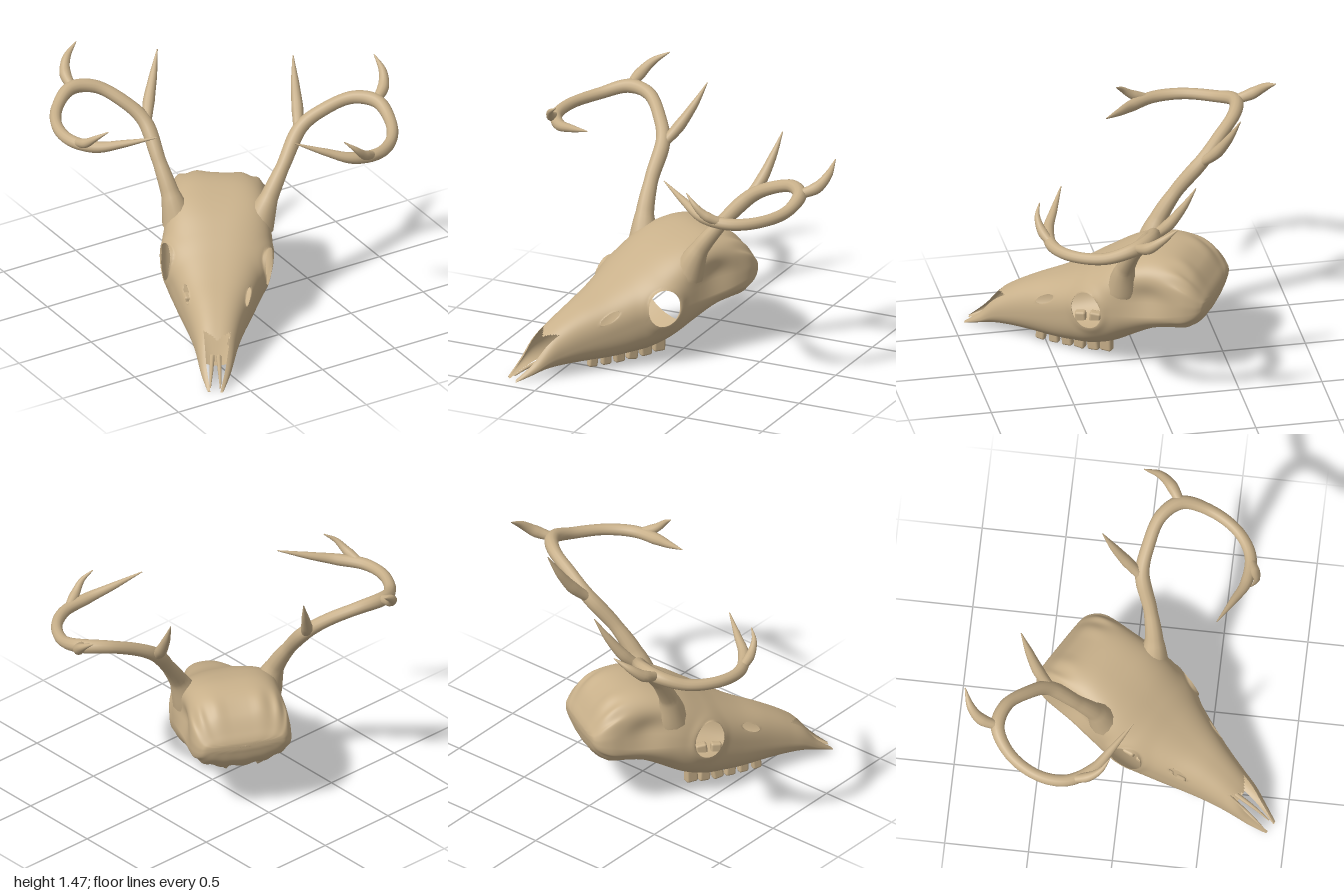
import * as THREE from 'three';
import { mergeVertices } from 'three/addons/utils/BufferGeometryUtils.js';
import { RoundedBoxGeometry } from 'three/addons/geometries/RoundedBoxGeometry.js';

const bone = new THREE.MeshStandardMaterial({ color: 0xc8b08a, side: THREE.DoubleSide });
const V = (p) => new THREE.Vector3(...p);
const { lerp, smoothstep } = THREE.MathUtils;

function add(parent, geometry, name) {
  const mesh = new THREE.Mesh(geometry, bone);
  mesh.name = name;
  parent.add(mesh);
  return mesh;
}

// Tube through points whose radius follows a list spread evenly along its length
function taper(points, radii, steps, sides = 12) {
  const curve = new THREE.CatmullRomCurve3(points.map(V));
  const tube = new THREE.TubeGeometry(curve, steps, 1, sides);
  const pos = tube.attributes.position, p = new THREE.Vector3();
  for (let i = 0; i <= steps; i++) {
    const c = curve.getPointAt(i / steps);
    const f = (i / steps) * (radii.length - 1), k = Math.min(Math.floor(f), radii.length - 2);
    const r = lerp(radii[k], radii[k + 1], f - k);
    for (let j = 0; j <= sides; j++) {
      const n = i * (sides + 1) + j;
      p.fromBufferAttribute(pos, n).sub(c).multiplyScalar(r).add(c);
      pos.setXYZ(n, p.x, p.y, p.z);
    }
  }
  tube.deleteAttribute('uv');
  tube.deleteAttribute('normal');
  const g = mergeVertices(tube, 1e-5);
  g.computeVertexNormals();
  return g;
}

// Skull stations, back to front: z, top, bottom, half width, height of widest line
const STATIONS = [
  [-0.45, 0.501, 0.499, 0.002, 0.5],
  [-0.445, 0.53, 0.46, 0.2, 0.5],
  [-0.42, 0.575, 0.38, 0.265, 0.48],
  [-0.35, 0.67, 0.31, 0.3, 0.46],
  [-0.25, 0.735, 0.29, 0.31, 0.44],
  [-0.12, 0.755, 0.26, 0.315, 0.42],
  [0.02, 0.73, 0.18, 0.325, 0.41],
  [0.15, 0.68, 0.11, 0.33, 0.40],
  [0.28, 0.605, 0.075, 0.31, 0.38],
  [0.40, 0.53, 0.065, 0.265, 0.33],
  [0.54, 0.455, 0.055, 0.215, 0.27],
  [0.70, 0.385, 0.055, 0.165, 0.21],
  [0.84, 0.31, 0.055, 0.13, 0.165],
  [0.94, 0.235, 0.05, 0.11, 0.13],
  [1.03, 0.12, 0.035, 0.085, 0.07],
  [1.135, 0.022, 0.008, 0.047, 0.015],
];

// Side openings: centre z, y, radii and slope
const OPENINGS = [
  { z: 0.27, y: 0.4, rz: 0.1, ry: 0.115, slope: 0 },
  { z: 0.575, y: 0.355, rz: 0.06, ry: 0.024, slope: -0.5 },
];
const reach = (o, y, z) => Math.hypot((z - o.z) / o.rz, (y - o.y - o.slope * (z - o.z)) / o.ry);
const bump = (x, c, w) => Math.exp(-(((x - c) / w) ** 2));

function skullGeometry() {
  const rows = 140, cols = 140;
  const heights = new THREE.CatmullRomCurve3(STATIONS.map((s) => V([s[0], s[1], s[2]])), false, 'catmullrom');
  const widths = new THREE.CatmullRomCurve3(STATIONS.map((s) => V([s[0], s[3], s[4]])), false, 'catmullrom');
  const pos = [], index = [], rowZ = [];
  for (let i = 0; i <= rows; i++) {
    const h = heights.getPoint(i / rows), w = widths.getPoint(i / rows);
    rowZ.push(h.x);
    // square braincase and palate, rounder face
    const upper = lerp(0.56, 0.8, smoothstep(h.x, 0, 0.3));
    const lower = 0.95 - 0.22 * bump(h.x, 0.45, 0.3);
    for (let j = 0; j < cols; j++) {
      const a = (j / cols) * Math.PI * 2, c = Math.cos(a), s = Math.sin(a);
      const e = s > 0 ? upper : lower;
      let x = w.y * Math.sign(c) * Math.abs(c) ** e;
      let y = w.z + (s > 0 ? h.y - w.z : w.z - h.z) * Math.sign(s) * Math.abs(s) ** e;
      let z = h.x;
      // hollow temples, raised orbit rim and fluted rear
      x *= 1 - 0.12 * bump(z, -0.1, 0.14) * bump(y, 0.54, 0.09);
      x *= 1 + 0.03 * bump(reach(OPENINGS[0], y, z), 1.05, 0.3);
      y += 0.007 * bump(z, -0.32, 0.08) * Math.cos(a * 14);
      // shape a clean edge round each opening
      for (const o of OPENINGS) {
        const d = reach(o, y, z);
        if (d > 0.65 && d < 1) {
          z = o.z + (z - o.z) / d;
          y = o.y + (y - o.y) / d;
        }
      }
      pos.push(x, y, z);
    }
  }
  const cut = (tri) => {
    const y = tri.reduce((t, n) => t + pos[n * 3 + 1], 0) / 3;
    const z = tri.reduce((t, n) => t + pos[n * 3 + 2], 0) / 3;
    return OPENINGS.some((o) => reach(o, y, z) < 0.97);
  };
  for (let i = 0; i < rows; i++) {
    for (let j = 0; j < cols; j++) {
      const a = ((j + 0.5) / cols) * Math.PI * 2, c = Math.abs(Math.cos(a)), up = Math.sin(a) > 0;
      if (rowZ[i] > (up ? 0.92 - 0.1 * c : 0.88) && c < 0.6) continue; // nasal opening
      if (!up && c < 0.62 && rowZ[i] > -0.3 && rowZ[i] < 0.01) continue; // opening under the braincase
      const p = i * cols + j, q = i * cols + ((j + 1) % cols);
      for (const tri of [[p, q, p + cols], [q, q + cols, p + cols]]) if (!cut(tri)) index.push(...tri);
    }
  }
  const g = new THREE.BufferGeometry();
  g.setAttribute('position', new THREE.Float32BufferAttribute(pos, 3));
  g.setIndex(index);
  g.computeVertexNormals();
  return g;
}

// Antler branches on the left side: points, radii and steps
const BRANCHES = {
  beam: [[[0.235, 0.56, 0.06], [0.29, 0.72, 0.025], [0.37, 0.9, -0.07], [0.465, 1.085, -0.21], [0.59, 1.177, -0.265],
    [0.766, 1.25, -0.305], [0.91, 1.255, -0.26], [0.99, 1.209, -0.104], [0.99, 1.19, 0.102], [0.91, 1.185, 0.255],
    [0.756, 1.196, 0.339], [0.602, 1.237, 0.358], [0.411, 1.297, 0.375]],
    [0.1, 0.055, 0.042, 0.046, 0.04, 0.038, 0.043, 0.036, 0.034, 0.036, 0.036, 0.022, 0.003], 110],
  browTine: [[[0.452, 1.06, -0.19], [0.442, 1.16, -0.3], [0.42, 1.3, -0.4], [0.403, 1.427, -0.472]],
    [0.028, 0.036, 0.024, 0.003], 20],
  rearTine: [[[0.9, 1.256, -0.255], [0.945, 1.3, -0.36], [0.94, 1.36, -0.44], [0.886, 1.424, -0.526]],
    [0.026, 0.036, 0.024, 0.003], 20],
  frontTine: [[[0.89, 1.185, 0.27], [0.825, 1.23, 0.355], [0.77, 1.29, 0.4], [0.7, 1.34, 0.41]],
    [0.024, 0.03, 0.018, 0.003], 20],
};

export function createModel() {
  const model = new THREE.Group();
  model.name = 'antleredSkull';
  // The skull rests turned to one side with a slight lean
  const head = new THREE.Group();
  head.name = 'head';
  head.rotation.set(0, -0.532, -0.056, 'YXZ');
  head.position.set(-0.115, 0, -0.068);
  model.add(head);

  add(head, skullGeometry(), 'skull');

  for (const m of [1, -1]) {
    const side = m > 0 ? 'left' : 'right';
    const flip = (pts) => pts.map(([x, y, z]) => [x * m, y, z]);

    // Antler with its tines
    const antler = new THREE.Group();
    antler.name = side + 'Antler';
    head.add(antler);
    for (const [name, [pts, radii, steps]] of Object.entries(BRANCHES)) {
      add(antler, taper(flip(pts), radii, steps), name);
    }

    // Thin inner prong of the snout
    add(head, taper(flip([[0.02, 0.09, 0.84], [0.026, 0.06, 1.0], [0.03, 0.02, 1.1]]), [0.016, 0.012, 0.004], 12, 8),
      side + 'SnoutProng');

    // Hanging spur at the skull base
    add(head, taper(flip([[0.11, 0.4, -0.35], [0.105, 0.33, -0.33], [0.095, 0.27, -0.29]]), [0.045, 0.03, 0.006], 10, 8),
      side + 'BaseSpur');

    // Cheek teeth, larger and higher toward the back
    for (let i = 0; i < 6; i++) {
      const k = i / 5;
      const tooth = add(head, new RoundedBoxGeometry(0.055 - 0.012 * k, 0.09, 0.075 - 0.015 * k, 2, 0.014), side + 'Tooth');
      tooth.position.set(m * (0.155 - 0.055 * k), 0.073 + 0.03 * (1 - k) ** 3, 0.2 + 0.43 * k);
      tooth.rotation.set(0.12 * Math.sin(i * 2.3), -m * 0.14, 0);
    }
  }
  return model;
}
